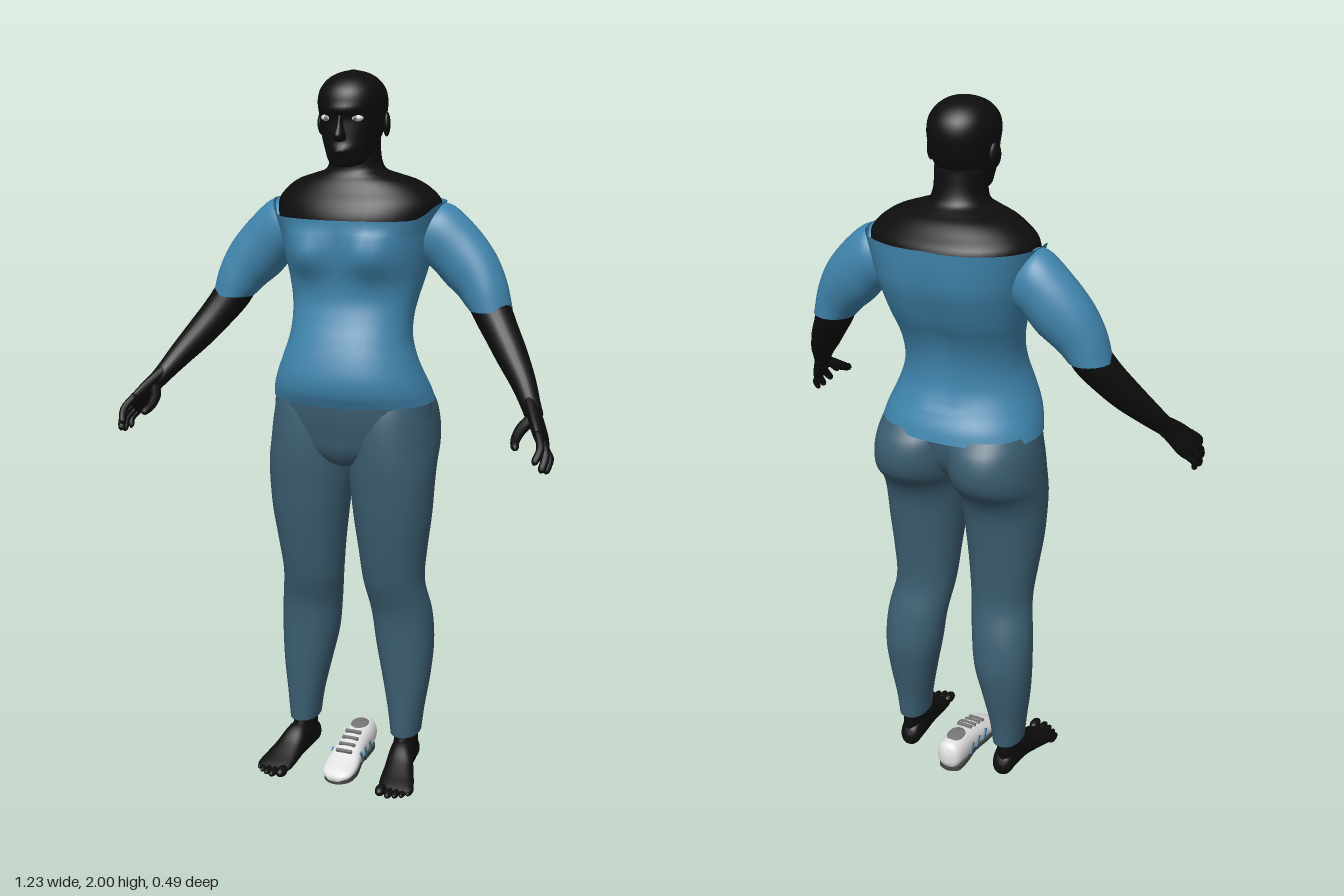
import * as THREE from 'three';

const V = (x, y, z) => new THREE.Vector3(x, y, z);
const mat = (name, color, side = THREE.FrontSide) => {
  const m = new THREE.MeshStandardMaterial({ color, side });
  m.name = name;
  return m;
};

// Superellipse ring around c with half axes u and v
function ring(c, u, v, n = 2, count = 40) {
  const pw = (t) => Math.sign(t) * Math.pow(Math.abs(t), 2 / n);
  return Array.from({ length: count }, (_, i) => {
    const a = (i / count) * Math.PI * 2;
    return c.clone().addScaledVector(u, pw(Math.cos(a))).addScaledVector(v, pw(Math.sin(a)));
  });
}
// Horizontal ring from its side, front and back limits
const slab = (y, x0, x1, zf, zb, n = 2) =>
  ring(V((x0 + x1) / 2, y, (zf + zb) / 2), V((x1 - x0) / 2, 0, 0), V(0, 0, (zf - zb) / 2), n);
// Upright ring across the foot or shoe
const arch = (z, x, hw, y0, y1, n = 2.3) =>
  ring(V(x, (y0 + y1) / 2, z), V(hw, 0, 0), V(0, (y1 - y0) / 2, 0), n);

// Smooth skin over a row of rings, faces always turned outwards
function loft(rings, { sub = 5, caps = true, warp } = {}) {
  const n = rings[0].length, rows = (rings.length - 1) * sub + 1;
  const cols = rings[0].map((_, j) => new THREE.CatmullRomCurve3(rings.map((r) => r[j])));
  const pts = [], idx = [];
  for (let i = 0; i < rows; i++) for (let j = 0; j < n; j++) pts.push(cols[j].getPoint(i / (rows - 1)));
  if (warp) pts.forEach(warp);
  for (let i = 0; i < rows - 1; i++) for (let j = 0; j < n; j++) {
    const a = i * n + j, b = i * n + ((j + 1) % n);
    idx.push(a, b, a + n, b, b + n, a + n);
  }
  if (caps) [0, rows - 1].forEach((r) => {
    const mid = V(0, 0, 0);
    for (let j = 0; j < n; j++) mid.addScaledVector(pts[r * n + j], 1 / n);
    const k = pts.push(mid) - 1;
    for (let j = 0; j < n; j++) {
      const a = r * n + j, b = r * n + ((j + 1) % n);
      r ? idx.push(a, b, k) : idx.push(b, a, k);
    }
  });
  const mid = pts.reduce((s, p) => s.add(p), V(0, 0, 0)).divideScalar(pts.length);
  let vol = 0;
  for (let i = 0; i < idx.length; i += 3) {
    const [a, b, c] = [0, 1, 2].map((k) => pts[idx[i + k]].clone().sub(mid));
    vol += a.dot(b.cross(c));
  }
  if (vol < 0) idx.reverse();
  const g = new THREE.BufferGeometry().setFromPoints(pts);
  g.setIndex(idx);
  g.computeVertexNormals();
  return g;
}

// Tapered limb along points [x, y, z, radius, radius2]; axis sets the direction of radius2
function limb(points, axis, sub = 4, count = 20) {
  const ps = points.map((p) => V(p[0], p[1], p[2]));
  return loft(ps.map((p, i) => {
    const t = ps[Math.min(i + 1, ps.length - 1)].clone().sub(ps[Math.max(i - 1, 0)]).normalize();
    const u = axis.clone().cross(t).normalize(), w = t.clone().cross(u);
    const [r, r2 = r] = points[i].slice(3);
    return ring(p, u.multiplyScalar(r), w.multiplyScalar(r2), 2, count);
  }), { sub });
}

const bump = (dx, dy, sx, sy) => Math.exp(-((dx / sx) ** 2) - (dy / sy) ** 2);

export function createModel() {
  const model = new THREE.Group();
  model.name = 'figure';
  const skin = mat('skin', 0x0d0d0d);
  const cloth = mat('shirt blue', 0x3f84ac, THREE.DoubleSide);
  const denim = mat('trouser blue', 0x3b5d70, THREE.DoubleSide);
  const white = mat('white', 0xe2e2e2);
  const grey = mat('lace grey', 0x777777);
  const dark = mat('sole grey', 0x484848);
  const add = (name, geo, m, parent = model) => {
    const mesh = new THREE.Mesh(geo, m);
    mesh.name = name;
    parent.add(mesh);
    return mesh;
  };
  const ball = (name, m, p, s, parent = model) => {
    const b = add(name, new THREE.SphereGeometry(1, 24, 16), m, parent);
    b.position.set(...p);
    b.scale.set(...s);
    return b;
  };

  // Shoulders and neck
  add('shouldersAndNeck', loft([
    [1.57, .215, .088, -.228], [1.62, .224, .09, -.236], [1.66, .226, .075, -.232], [1.69, .203, .055, -.205],
    [1.715, .165, .04, -.178], [1.73, .12, .03, -.15], [1.745, .08, .025, -.127], [1.77, .069, .025, -.117], [1.83, .065, .02, -.112],
  ].map(([y, w, f, b]) => slab(y, -w, w, f, b, 2.1))), skin);

  // Head with brow, nose and lips shaped from the skin
  add('head', loft([
    [1.755, .022, .06, .015], [1.765, .045, .071, -.03], [1.8, .064, .075, -.08], [1.84, .079, .074, -.11],
    [1.88, .086, .074, -.125], [1.92, .09, .081, -.13], [1.95, .084, .072, -.122], [1.975, .066, .048, -.1],
    [1.991, .04, .014, -.07], [2, .003, -.025, -.031],
  ].map(([y, w, f, b]) => slab(y, -w, w, f, b, 2.1)), {
    sub: 7,
    warp: (p) => {
      if (p.z < .03) return;
      p.z += .012 * bump(p.x, p.y - 1.797, .025, .012) + .008 * bump(p.x, p.y - 1.9, .06, .012);
    },
  }), skin);
  add('nose', loft([[1.89, .007, .078], [1.86, .01, .087], [1.838, .016, .1], [1.825, .016, .095], [1.82, .008, .08]]
    .map(([y, w, f]) => slab(y, -w, w, f, .05))), skin);
  for (const s of [-1, 1]) {
    ball('ear', skin, [s * .09, 1.862, -.035], [.01, .032, .02]).rotation.y = s * .3;
    ball('eye', white, [s * .04, 1.88, .056], [.018, .009, .014]);
    ball('iris', grey, [s * .04, 1.88, .066], [.006, .006, .0055]);
  }

  // Shirt body with bust, spine hollow and a neckline that dips in front
  add('shirtBody', loft([
    [1.125, .227, .128, -.2], [1.16, .218, .145, -.19], [1.2, .203, .15, -.168], [1.25, .184, .14, -.148],
    [1.3, .17, .122, -.145], [1.35, .168, .1, -.153], [1.4, .175, .084, -.172], [1.45, .187, .083, -.2],
    [1.5, .2, .09, -.222], [1.55, .212, .096, -.24], [1.6, .224, .1, -.247], [1.66, .24, .1, -.25],
  ].map(([y, w, f, b]) => slab(y, -w, w, f, b, 2.2)), {
    caps: false,
    warp: (p) => {
      if (p.z > .02) p.z += .036 * bump(Math.abs(p.x) - .092, p.y - 1.525, .055, .06);
      if (p.z < -.1 && p.y > 1.2) p.z += .018 * bump(p.x, p.y - 1.45, .04, .25);
      if (p.y > 1.58) p.y -= (p.y - 1.58) * .5 * THREE.MathUtils.smoothstep(p.z, -.04, .05);
    },
  }), cloth);

  // Trouser seat between the legs
  add('trouserSeat', loft([
    [1.14, .222, .126, -.18], [1.09, .227, .122, -.175], [1.04, .222, .112, -.16], [.99, .16, .1, -.12], [.95, .06, .07, -.08], [.935, .01, .01, -.03],
  ].map(([y, w, f, b]) => slab(y, -w, w, f, b))), denim);

  for (const s of [-1, 1]) {
    const side = new THREE.Group();
    side.name = s > 0 ? 'leftLimbs' : 'rightLimbs';
    model.add(side);
    const m = (rows) => rows.map(([x, ...r]) => [s * x, ...r]);

    // Trouser leg including one buttock
    add('trouserLeg', loft([
      [1.14, -.01, .215, .09, -.18], [1.1, -.012, .226, .1, -.208], [1.05, -.01, .234, .106, -.218], [1, -.006, .238, .108, -.205],
      [.95, 0, .239, .107, -.16], [.9, .003, .238, .102, -.135], [.8, .013, .232, .09, -.12], [.7, .025, .219, .072, -.113],
      [.6, .035, .21, .05, -.112], [.5, .05, .225, .02, -.138], [.4, .063, .229, .015, -.15], [.3, .085, .222, .015, -.135],
      [.2, .106, .208, .015, -.116], [.13, .116, .2, .015, -.11],
    ].map(([y, a, b, f, k]) => slab(y, s * a, s * b, f, k, 2.15)), { caps: false }), denim, side);

    // Ankle, foot and toes
    add('ankle', loft([[.19, .125, .19, 0, -.095], [.13, .127, .19, .005, -.1], [.08, .127, .192, .02, -.1], [.04, .13, .19, .03, -.095]]
      .map(([y, a, b, f, k]) => slab(y, s * a, s * b, f, k))), skin, side);
    add('foot', loft([
      [-.108, .157, .012, .03, .06], [-.095, .157, .028, .021, .085], [-.05, .158, .034, .02, .115], [.01, .164, .037, .02, .115],
      [.06, .174, .044, .02, .082], [.1, .182, .05, .02, .06], [.13, .187, .05, .02, .046], [.145, .187, .042, .024, .038],
    ].map(([z, x, w, a, b]) => arch(z, s * x, w, a, b))), skin, side);
    [[.152, .155, .015], [.177, .158, .011], [.196, .15, .01], [.213, .139, .009], [.228, .124, .009]]
      .forEach(([x, z, r]) => ball('toe', skin, [s * x, .02 + r, z], [r, r, .025], side));

    // Sleeve: outer edge, inner edge, depth centre and half depth
    add('sleeve', loft([
      [.215, 1.655, .18, 1.5, -.08, .07], [.252, 1.656, .208, 1.485, -.084, .073], [.32, 1.602, .25, 1.442, -.085, .071],
      [.38, 1.53, .287, 1.412, -.078, .067], [.415, 1.458, .306, 1.393, -.07, .064], [.434, 1.385, .32, 1.38, -.066, .062],
    ].map(([x0, y0, x1, y1, z, d]) => ring(V(s * (x0 + x1) / 2, (y0 + y1) / 2, z),
      V(s * (x0 - x1) / 2, (y0 - y1) / 2, 0), V(0, 0, d))), { caps: false }), cloth, side);

    // Forearm, palm, fingers and thumb
    const across = V(s * -.1, .62, .78).normalize();
    add('forearm', limb(m([
      [.34, 1.45, -.075, .05], [.378, 1.385, -.062, .052], [.415, 1.33, -.035, .047], [.455, 1.275, 0, .042],
      [.5, 1.215, .047, .033], [.53, 1.17, .088, .026], [.545, 1.148, .11, .024],
    ]), across), skin, side);
    add('palm', limb(m([
      [.525, 1.178, .08, .02, .026], [.545, 1.148, .11, .02, .034], [.563, 1.12, .134, .019, .042],
      [.578, 1.096, .155, .016, .043], [.586, 1.082, .166, .009, .036],
    ]), across), skin, side);
    [
      [.572, 1.122, .178, .588, 1.09, .215, .58, 1.062, .24, .0105], [.578, 1.105, .165, .598, 1.07, .198, .594, 1.038, .222, .011],
      [.58, 1.088, .15, .602, 1.056, .176, .6, 1.028, .192, .0105], [.58, 1.074, .135, .6, 1.05, .15, .598, 1.03, .16, .009],
    ].forEach(([a, b, c, d, e, f, g, h, i, r]) => add('finger',
      limb(m([[a, b, c, r], [d, e, f, r], [g, h, i, r * .8], [g - .001, h - .006, i + .004, r * .2]]), across, 4, 12), skin, side));
    add('thumb', limb(m([
      [.545, 1.145, .115, .016], [.523, 1.122, .15, .015], [.517, 1.1, .19, .012], [.524, 1.088, .218, .009], [.526, 1.085, .224, .002],
    ]), across, 4, 12), skin, side);
  }

  // Single sports shoe between the feet
  const shoe = new THREE.Group();
  shoe.name = 'shoe';
  model.add(shoe);
  add('shoeUpper', loft([
    [-.15, .012, .04, .075], [-.138, .034, .02, .1], [-.1, .042, .016, .107], [-.04, .042, .016, .1], [.02, .045, .016, .085],
    [.07, .049, .016, .062], [.11, .042, .016, .046], [.13, .02, .018, .035],
  ].map(([z, w, a, b]) => arch(z, 0, w, a, b))), white, shoe);
  const outline = new THREE.Shape(new THREE.SplineCurve([
    [0, -.145], [.032, -.13], [.037, -.08], [.034, -.02], [.046, .06], [.036, .11], [0, .13],
    [-.036, .11], [-.046, .06], [-.034, -.02], [-.037, -.08], [-.032, -.13], [0, -.145],
  ].map(([x, z]) => new THREE.Vector2(x, z))).getPoints(60));
  const sole = add('shoeSole', new THREE.ExtrudeGeometry(outline, { depth: .014, bevelEnabled: false }), dark, shoe);
  sole.rotation.x = Math.PI / 2;
  sole.position.y = .024;
  for (const x of [-.024, .024]) for (const z of [-.1, -.06, .03, .08]) {
    add('stud', new THREE.CylinderGeometry(.009, .007, .012, 12), dark, shoe).position.set(x, .006, z);
  }
  ball('shoeOpening', grey, [0, .104, -.085], [.026, .005, .035], shoe);
  for (let i = 0; i < 4; i++) {
    const lace = add('lace', new THREE.BoxGeometry(.048, .008, .009), grey, shoe);
    lace.position.set(0, .101 - i * .0085, -.03 + i * .026);
    lace.rotation.x = .32;
  }
  for (const s of [-1, 1]) for (const z of [-.06, -.02, .02]) {
    const stripe = add('shoeStripe', new THREE.BoxGeometry(.006, .035, .01), cloth, shoe);
    stripe.position.set(s * (z > 0 ? .0435 : .041), .05, z);
    stripe.rotation.x = .4;
  }
  return model;
}
